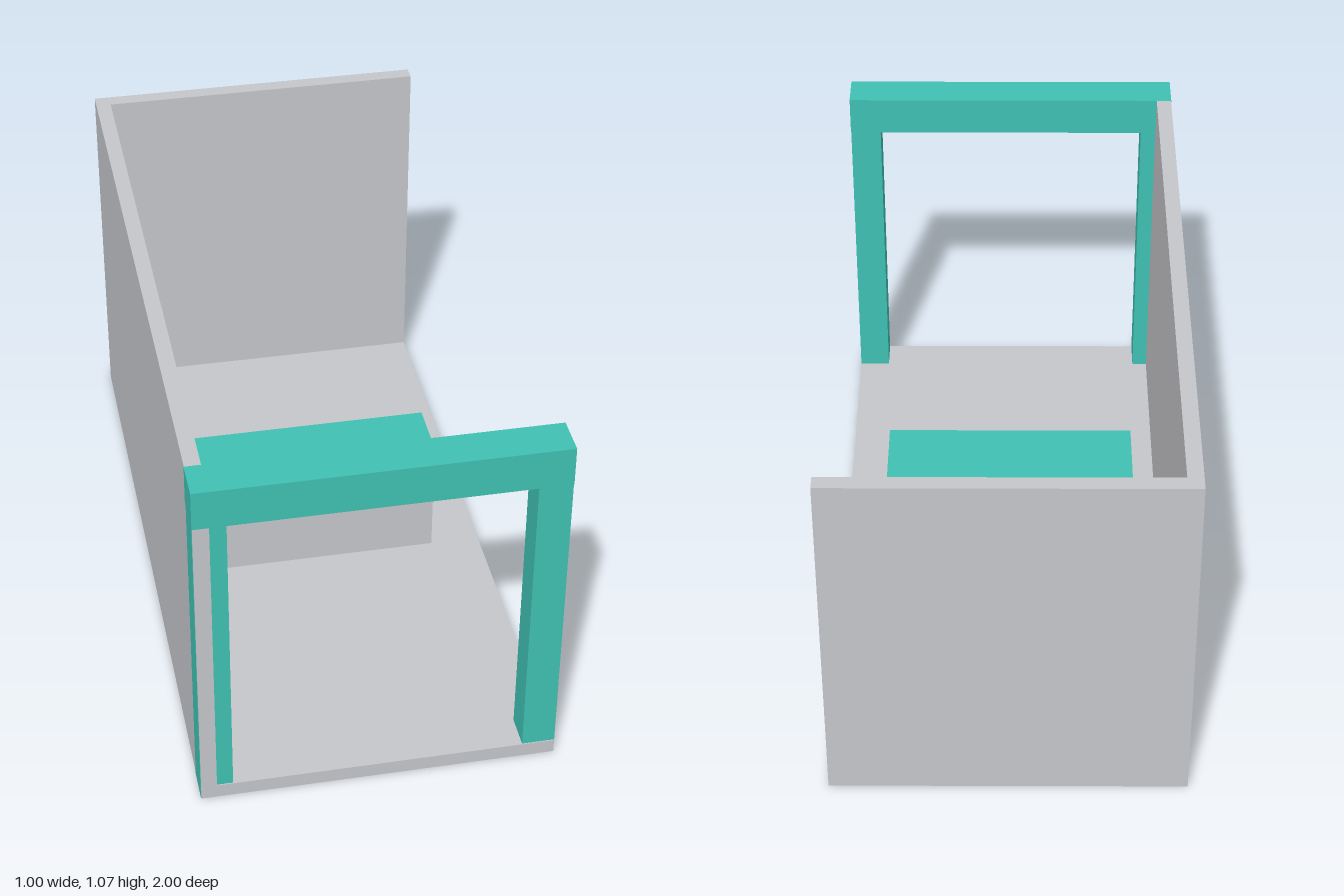
import * as THREE from 'three';

export function createModel() {
  const model = new THREE.Group();
  model.name = 'openBooth';
  const grey = new THREE.MeshStandardMaterial({ color: 0xc5c6ca });
  grey.name = 'light grey';
  const teal = new THREE.MeshStandardMaterial({ color: 0x40c1b3 });
  teal.name = 'teal';

  // Box given by its lower and upper limits on each axis
  const addBox = (name, material, [x0, x1], [y0, y1], [z0, z1], parent = model) => {
    const mesh = new THREE.Mesh(new THREE.BoxGeometry(x1 - x0, y1 - y0, z1 - z0), material);
    mesh.position.set((x0 + x1) / 2, (y0 + y1) / 2, (z0 + z1) / 2);
    mesh.name = name;
    parent.add(mesh);
  };

  const half = 0.497, height = 1.066, floorTop = 0.042;
  const wallInner = -0.453, backInner = -0.955;

  // Floor and the two walls
  addBox('floor', grey, [-half, half], [0, floorTop], [-1, 0.999]);
  addBox('sideWall', grey, [-half, wallInner], [floorTop, height], [backInner, 0.999]);
  addBox('backWall', grey, [-half, half], [floorTop, height], [-1, backInner]);

  // Front gateway: posts sit just proud of the outer sides, behind the front edge
  const gateway = new THREE.Group();
  gateway.name = 'gateway';
  model.add(gateway);
  addBox('rightPost', teal, [-half - 0.001, -0.408], [-0.0005, 0.955], [0.9, 0.996], gateway);
  addBox('leftPost', teal, [0.406, half + 0.001], [0.0005, 0.955], [0.9, 0.996], gateway);
  addBox('lintel', teal, [-half - 0.001, half + 0.001], [0.951, height + 0.001], [0.887, 1], gateway);

  // Counter with an overhanging top
  const counter = new THREE.Group();
  counter.name = 'counter';
  model.add(counter);
  addBox('counterBody', grey, [-0.355, 0.352], [floorTop, 0.356], [-0.105, 0.099], counter);
  addBox('counterTop', teal, [-0.365, 0.361], [0.356, 0.38], [-0.117, 0.109], counter);

  return model;
}
